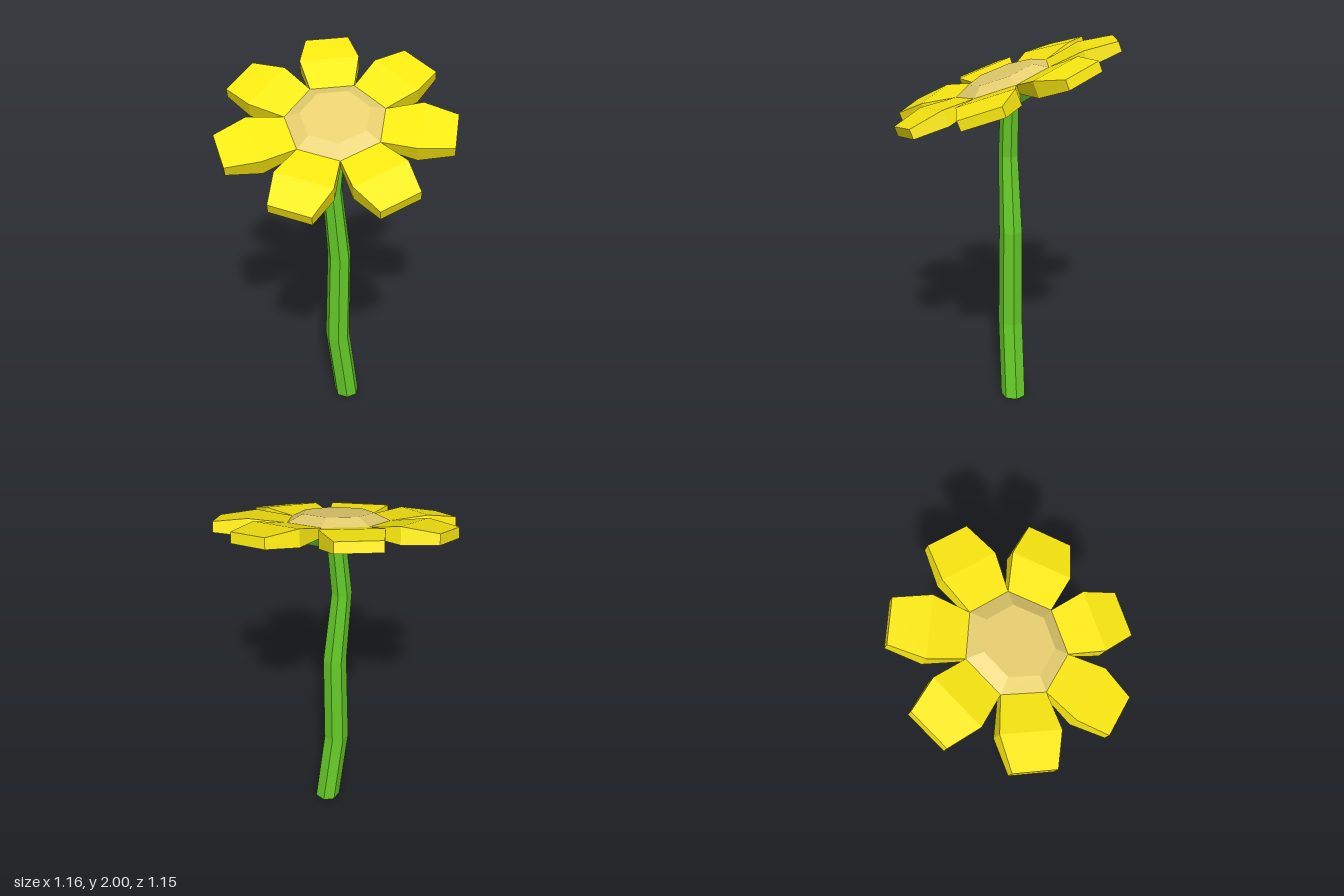
import * as THREE from 'three';

const SIDES = 7;
const STEP = (Math.PI * 2) / SIDES;
const TURN = THREE.MathUtils.degToRad(3);
const START = Math.PI / 2 - TURN;

const paint = (color) => new THREE.MeshStandardMaterial({ color, flatShading: true });

function part(name, geometry, material) {
  const mesh = new THREE.Mesh(geometry, material);
  mesh.name = name;
  return mesh;
}

// Moves every vertex of a geometry by a rule
function reshape(geometry, rule) {
  const p = geometry.attributes.position;
  const v = new THREE.Vector3();
  for (let i = 0; i < p.count; i++) {
    rule(v.fromBufferAttribute(p, i));
    p.setXYZ(i, v.x, v.y, v.z);
  }
  geometry.computeVertexNormals();
  return geometry;
}

// Seven-sided tapered slab between two heights
function slab(rTop, rBottom, yTop, yBottom) {
  return new THREE.CylinderGeometry(rTop, rBottom, yTop - yBottom, SIDES, 1, false, START)
    .translate(0, (yTop + yBottom) / 2, 0);
}

// Crooked stem: each row is [x, y, z, radius]
function stemGeometry() {
  const rows = [
    [0.079, 0, -0.027, 0.069],
    [0.023, 0.44, -0.027, 0.068],
    [0.03, 0.98, -0.025, 0.063],
    [-0.01, 1.39, -0.022, 0.053],
    [0.02, 1.72, -0.02, 0.048],
  ];
  const n = rows.length - 1;
  const g = new THREE.CylinderGeometry(1, 1, n, SIDES, n, false, START);
  return reshape(g, (v) => {
    const [x, y, z, r] = rows[Math.round(v.y + n / 2)];
    v.set(x + v.x * r, y, z + v.z * r);
  });
}

// Petal along +z, bent at its widest point: [distance, half width, top, bottom]
function petalGeometry() {
  const rows = [
    [0.23, 0.111, 0, -0.045],
    [0.413, 0.151, 0.023, -0.062],
    [0.588, 0.111, 0, -0.053],
  ];
  return reshape(new THREE.BoxGeometry(2, 2, 2, 1, 1, 2), (v) => {
    const [d, w, top, bottom] = rows[Math.round(v.z + 1)];
    v.set(v.x * w, v.y > 0 ? top : bottom, d);
  });
}

export function createModel() {
  const green = paint(0x66cc28);
  const yellow = paint(0xfcea10);
  const tan = paint(0xe8d070);

  const flower = new THREE.Group();
  flower.name = 'flower';
  flower.add(part('stem', stemGeometry(), green));

  // Tilted flower head
  const head = new THREE.Group();
  head.name = 'flowerHead';
  head.position.set(0, 1.79, 0.006);
  head.quaternion.setFromUnitVectors(
    new THREE.Vector3(0, 1, 0),
    new THREE.Vector3(-0.155, 1, 0.34).normalize(),
  );
  head.rotateY(0.024);
  head.add(part('seedDisc', slab(0.178, 0.256, 0.037, 0), tan));
  head.add(part('greenBase', slab(0.256, 0.205, -0.04, -0.1), green));

  // Ring of petals, one on each edge of the disc
  const petal = petalGeometry();
  for (let i = 0; i < SIDES; i++) {
    const mesh = part(`petal${i + 1}`, petal, yellow);
    mesh.rotation.y = START - (i + 0.5) * STEP;
    head.add(mesh);
  }
  flower.add(head);
  return flower;
}
